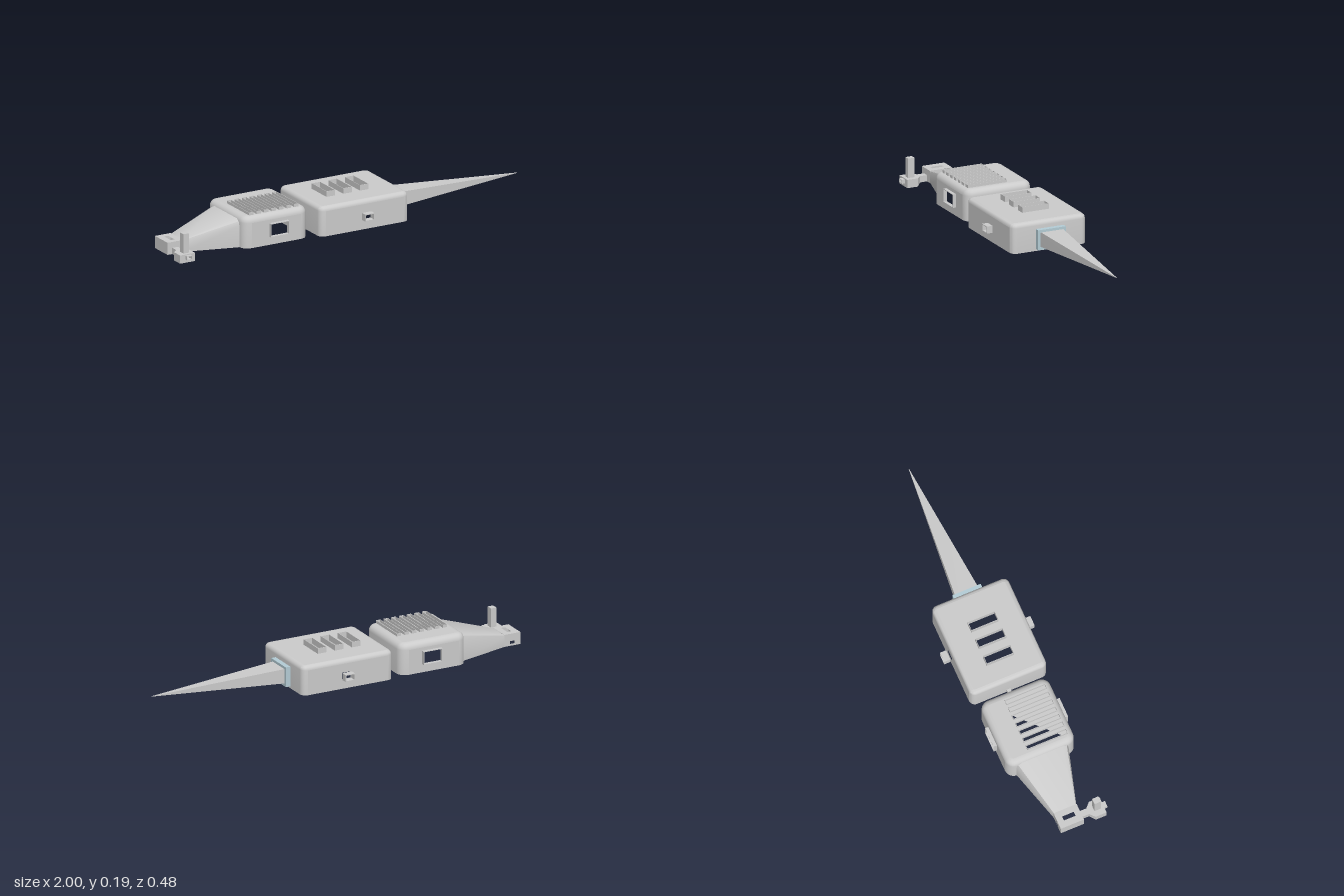
import * as THREE from 'three';
import { toCreasedNormals } from 'three/addons/utils/BufferGeometryUtils.js';

const grey = new THREE.MeshStandardMaterial({ color: 0xcccccc, side: THREE.DoubleSide });
const blue = new THREE.MeshStandardMaterial({ color: 0xb4cdd6, side: THREE.DoubleSide });

function add(parent, name, geometry, material = grey) {
  const mesh = new THREE.Mesh(geometry, material);
  mesh.name = name;
  parent.add(mesh);
  return mesh;
}

// Skin over a row of closed (or open) rings; skip(row, segment) leaves gaps
function skin(rings, closed = true, skip = () => false, crease = 0.7) {
  const n = rings[0].length, index = [];
  for (let j = 0; j < rings.length - 1; j++) {
    for (let i = 0; i < (closed ? n : n - 1); i++) {
      if (skip(j, i)) continue;
      const a = j * n + i, b = j * n + (i + 1) % n;
      index.push(a, a + n, b, b, a + n, b + n);
    }
  }
  const g = new THREE.BufferGeometry();
  g.setAttribute('position', new THREE.Float32BufferAttribute(rings.flat(2), 3));
  g.setIndex(index);
  return toCreasedNormals(g, crease);
}

function rectPoints(cx, cy, w, h) {
  return [[-1, -1], [1, -1], [1, 1], [-1, 1]].map(([a, b]) => new THREE.Vector2(cx + a * w / 2, cy + b * h / 2));
}

// Flat plate with rectangular holes [cx, cy, w, h]
function plate(points, holes) {
  const s = new THREE.Shape(points);
  holes.forEach(h => s.holes.push(new THREE.Path(rectPoints(...h))));
  return s;
}

// Rectangular sleeve, open at both ends, running along an axis
function sleeve(w, h, wall, depth, axis = 'z') {
  const s = plate(rectPoints(0, 0, w, h), [[0, 0, w - 2 * wall, h - 2 * wall]]);
  const g = new THREE.ExtrudeGeometry(s, { depth, bevelEnabled: false });
  if (axis === 'y') g.rotateX(-Math.PI / 2);
  if (axis === 'x') g.rotateY(Math.PI / 2);
  return g;
}

// Hollow cover, open below, with rounded edges, roof slots and side windows
function cover(name, { x0, x1, y0, y1, z0, z1, R, r, slots, win, openEnd }) {
  const g = new THREE.Group();
  g.name = name;
  const N = 6, M = 5;
  const centres = [[x1 - R, z1 - R], [x0 + R, z1 - R], [x0 + R, z0 + R], [x1 - R, z0 + R]];
  const ring = (inset, y) => centres.flatMap(([cx, cz], q) => Array.from({ length: N + 1 }, (_, k) => {
    const a = (q + k / N) * Math.PI / 2;
    return [cx + (R - inset) * Math.cos(a), y, cz + (R - inset) * Math.sin(a)];
  }));
  const rings = [ring(0, y0)];
  for (let j = 0; j <= M; j++) {
    const a = j / M * Math.PI / 2;
    rings.push(ring(r * (1 - Math.cos(a)), y1 - r + r * Math.sin(a)));
  }
  const skip = (j, i) => {
    if (j > 0 || i % (N + 1) !== N) return false;
    const side = (i - N) / (N + 1);
    return side % 2 === 0 || (openEnd && side === 1);
  };
  add(g, 'coverShell', skin(rings, true, skip));

  // Roof with slots
  const top = rings[M + 1].map(([x, , z]) => new THREE.Vector2(x, z));
  const roof = new THREE.ShapeGeometry(plate(top, slots)).rotateX(Math.PI / 2);
  add(g, 'roof', roof).position.y = y1;

  // Front and back walls with windows
  const cx = (x0 + x1) / 2, top1 = y1 - r;
  const wall = plate(rectPoints(cx, (y0 + top1) / 2, x1 - x0 - 2 * R, top1 - y0), [win]);
  add(g, 'frontWall', new THREE.ShapeGeometry(wall)).position.z = z1;
  add(g, 'backWall', new THREE.ShapeGeometry(wall)).position.z = z0;
  return g;
}

export function createModel() {
  const model = new THREE.Group();
  model.name = 'model';

  // Large cover: three roof vents, two side ports
  const ventSlots = [-0.09, 0.004, 0.098].map(x => [x, 0.005, 0.046, 0.142]);
  const large = cover('largeCover', {
    x0: -0.225, x1: 0.275, y0: 0.01, y1: 0.16, z0: -0.197, z1: 0.208, R: 0.03, r: 0.022,
    slots: ventSlots, win: [0.035, 0.077, 0.046, 0.032],
  });
  ventSlots.forEach(([x, z, w, h]) =>
    add(large, 'roofVent', sleeve(w + 0.002, h + 0.002, 0.002, 0.03, 'y')).position.set(x, 0.158, z));
  for (const z of [0.206, -0.239])
    add(large, 'sidePort', sleeve(0.052, 0.036, 0.004, 0.033)).position.set(0.035, 0.077, z);
  model.add(large);

  // Small cover: row of narrow vents, two side windows
  const slits = Array.from({ length: 7 }, (_, i) => [-0.583 + i * 0.0422, 0.046, 0.022, 0.212]);
  const small = cover('smallCover', {
    x0: -0.64, x1: -0.275, y0: 0.01, y1: 0.17, z0: -0.18, z1: 0.18, R: 0.045, r: 0.032,
    slots: slits, win: [-0.445, 0.087, 0.1, 0.065], openEnd: true,
  });
  slits.forEach(([x, z, w, h]) =>
    add(small, 'narrowVent', sleeve(w + 0.002, h + 0.002, 0.002, 0.017, 'y')).position.set(x, 0.167, z));
  for (const z of [0.178, -0.197])
    add(small, 'windowFrame', sleeve(0.104, 0.069, 0.003, 0.019)).position.set(-0.445, 0.087, z);
  model.add(small);

  // Link between the covers
  add(model, 'link', new THREE.BoxGeometry(0.054, 0.03, 0.02)).position.set(-0.25, 0.025, 0);

  // Tapered nose, open below
  const section = (x, top, w, r) => {
    const half = [[0.01, w], [top - r, w], [top - 0.3 * r, w - 0.3 * r], [top, w - r]];
    return [...half.map(([y, z]) => [x, y, z]), ...half.reverse().map(([y, z]) => [x, y, -z])];
  };
  add(model, 'nose', skin([section(-0.636, 0.15, 0.138, 0.03), section(-0.912, 0.07, 0.06, 0.006)], false));

  // Nose tip: open box with a slot on top and a slit through its sides
  const tip = new THREE.Group();
  tip.name = 'noseTip';
  const tipTop = plate(rectPoints(-0.956, 0.001, 0.088, 0.122), [[-0.955, 0.002, 0.022, 0.062]]);
  add(tip, 'tipRoof', new THREE.ShapeGeometry(tipTop).rotateX(Math.PI / 2)).position.y = 0.072;
  const tipSide = plate(rectPoints(-0.956, 0.041, 0.088, 0.062), [[-0.956, 0.027, 0.024, 0.014]]);
  for (const z of [-0.06, 0.062])
    add(tip, 'tipSide', new THREE.ShapeGeometry(tipSide)).position.z = z;
  add(tip, 'tipEnd', new THREE.PlaneGeometry(0.122, 0.062).rotateY(-Math.PI / 2)).position.set(-1, 0.041, 0.001);
  model.add(tip);

  // Foot with flared neck, upright post and small tab
  const foot = new THREE.Group();
  foot.name = 'sideFoot';
  const footRing = ([z, hw, y0, y1]) => rectPoints(-0.958, (y0 + y1) / 2, 2 * hw, y1 - y0).map(p => [p.x, p.y, z]);
  const sections = [[0.062, 0.016, 0.01, 0.042], [0.1, 0.016, 0.01, 0.042], [0.125, 0.042, 0, 0.042], [0.182, 0.042, 0, 0.042]];
  add(foot, 'footShell', skin(sections.map(footRing), true, undefined, 0.3));
  const footFace = plate(rectPoints(-0.958, 0.021, 0.084, 0.042), [[-0.956, 0.027, 0.024, 0.014]]);
  add(foot, 'footFace', new THREE.ShapeGeometry(footFace)).position.z = 0.182;
  add(foot, 'footTab', sleeve(0.03, 0.02, 0.003, 0.018)).position.set(-0.956, 0.027, 0.181);
  add(foot, 'post', new THREE.BoxGeometry(0.03, 0.1, 0.034)).position.set(-0.956, 0.091, 0.148);
  model.add(foot);

  // Coloured collar and long four-sided spike
  add(model, 'collar', sleeve(0.15, 0.102, 0.014, 0.026, 'x'), blue).position.set(0.274, 0.071, 0.005);
  const spikeRing = ([x, h, w]) => [[-1, -1], [1, -1], [1, 1], [-1, 1]].map(([a, b]) => [x, 0.072 + b * h, 0.004 + a * w]);
  const spike = [[0.275, 0.037, 0.06], [0.3, 0.037, 0.06], [1, 0.0008, 0.001]];
  add(model, 'spike', skin(spike.map(spikeRing), true, undefined, 0.3));

  return model;
}
